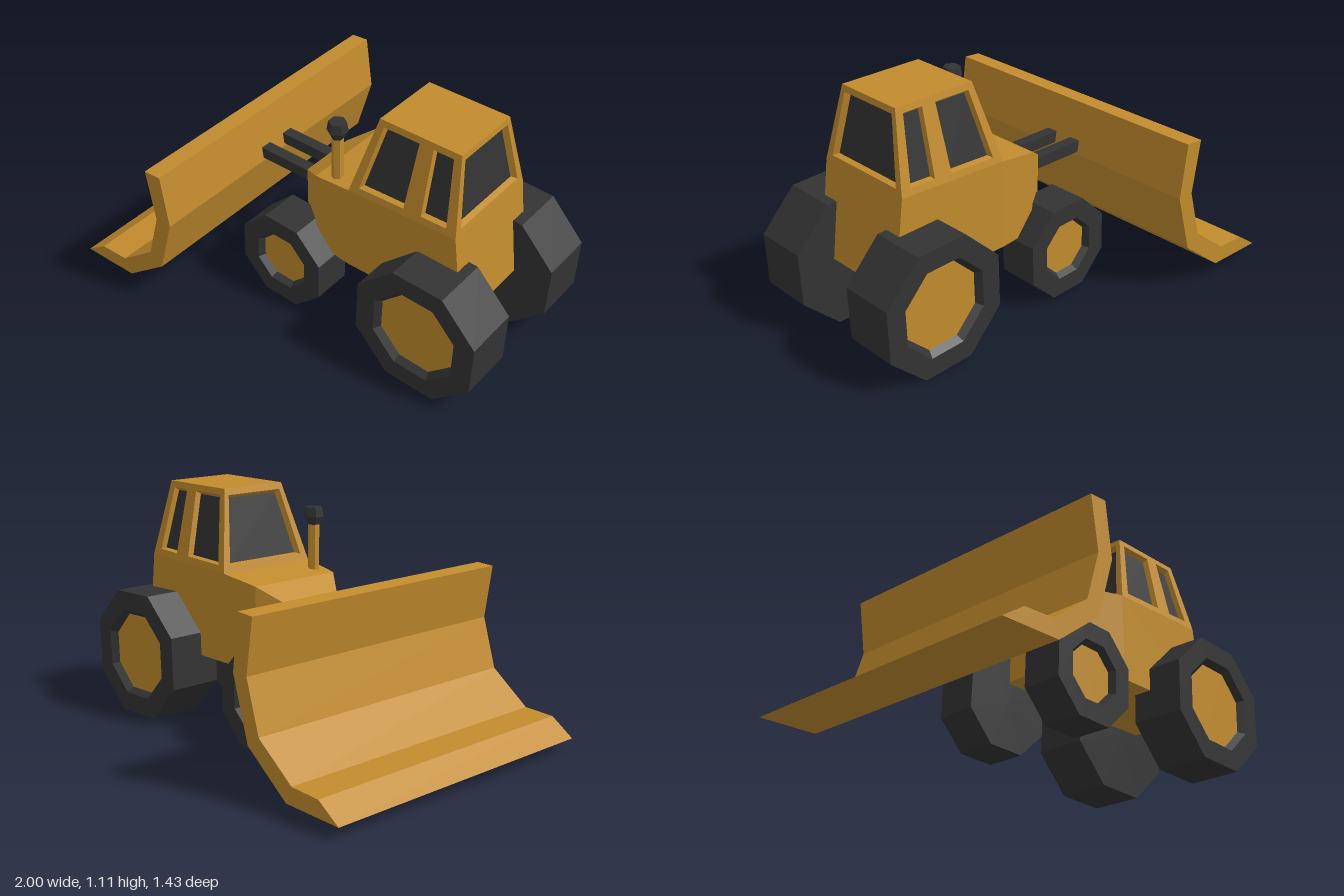
import * as THREE from 'three';
import { ConvexGeometry } from 'three/addons/geometries/ConvexGeometry.js';

const paint = new THREE.MeshStandardMaterial({ color: 0xc28c2d, flatShading: true });
const dark = new THREE.MeshStandardMaterial({ color: 0x333333, flatShading: true });
const V = (x, y, z) => new THREE.Vector3(x, y, z);

function add(parent, name, geometry, material, x = 0, y = 0, z = 0) {
  const mesh = new THREE.Mesh(geometry, material);
  mesh.name = name;
  mesh.position.set(x, y, z);
  parent.add(mesh);
  return mesh;
}

// Flat-shaded geometry from four-cornered faces, corners counter-clockwise
function quadGeometry(quads) {
  const points = quads.flatMap(([a, b, c, d]) => [a, b, c, a, c, d]);
  const geometry = new THREE.BufferGeometry().setFromPoints(points);
  geometry.computeVertexNormals();
  return geometry;
}

// Quads joining one four-cornered loop to another
const bridge = (outer, inner) =>
  outer.map((p, i) => [p, outer[(i + 1) % 4], inner[(i + 1) % 4], inner[i]]);

// Cab wall with recessed panes; corners run bottom-left, bottom-right, top-right, top-left
function cabWall(parent, name, [bl, br, tr, tl], windows, v0 = 0.085, v1 = 0.92) {
  const at = (u, v) => bl.clone().lerp(br, u).lerp(tl.clone().lerp(tr, u), v);
  const loop = (u0, u1, a, b) => [at(u0, a), at(u1, a), at(u1, b), at(u0, b)];
  const inward = br.clone().sub(bl).cross(tl.clone().sub(bl)).normalize().multiplyScalar(-0.025);
  const frame = [], panes = [];
  windows.forEach(([u0, u1], i) => {
    const start = i ? (windows[i - 1][1] + u0) / 2 : 0;
    const end = i < windows.length - 1 ? (u1 + windows[i + 1][0]) / 2 : 1;
    const hole = loop(u0, u1, v0, v1);
    const centre = at((u0 + u1) / 2, (v0 + v1) / 2);
    const pane = hole.map(p => p.clone().lerp(centre, 0.07).add(inward));
    frame.push(...bridge(loop(start, end, 0, 1), hole), ...bridge(hole, pane));
    panes.push(pane);
  });
  add(parent, name + 'Frame', quadGeometry(frame), paint);
  add(parent, name + 'Window', quadGeometry(panes), dark);
}

function makeCab() {
  const cab = new THREE.Group();
  cab.name = 'cab';
  const frontBase = s => V(0.225, 0.745, 0.255 * s), rearBase = s => V(0.767, 0.76, 0.25 * s);
  const frontRoof = s => V(0.32, 1.11, 0.17 * s), rearRoof = s => V(0.72, 1.11, 0.17 * s);
  cabWall(cab, 'leftSide', [frontBase(1), rearBase(1), rearRoof(1), frontRoof(1)],
    [[0.08, 0.51], [0.675, 0.91]]);
  cabWall(cab, 'rightSide', [rearBase(-1), frontBase(-1), frontRoof(-1), rearRoof(-1)],
    [[0.09, 0.325], [0.49, 0.92]]);
  cabWall(cab, 'windscreen', [frontBase(-1), frontBase(1), frontRoof(1), frontRoof(-1)], [[0.07, 0.93]]);
  cabWall(cab, 'rear', [rearBase(1), rearBase(-1), rearRoof(-1), rearRoof(1)], [[0.07, 0.93]]);
  add(cab, 'roof', quadGeometry([[frontRoof(1), rearRoof(1), rearRoof(-1), frontRoof(-1)]]), paint);
  return cab;
}

// Eight-sided tyre with a recessed hub on its outer face
function makeWheel(name, x, y, z, radius, width, holeRadius, rimRadius) {
  const wheel = new THREE.Group();
  wheel.name = name;
  const side = Math.sign(z), h = width / 2, spin = side * THREE.MathUtils.degToRad(20.5);
  const profile = [[0, -h], [radius, -h], [radius, h], [holeRadius, h], [rimRadius, h - 0.03]]
    .map(p => new THREE.Vector2(...p));
  add(wheel, 'tyre', new THREE.LatheGeometry(profile, 8).rotateX(Math.PI / 2).rotateZ(spin), dark);
  add(wheel, 'hub', new THREE.CircleGeometry(rimRadius, 8).rotateZ(spin), paint, 0, 0, h - 0.03);
  wheel.position.set(x, y, z);
  if (side < 0) wheel.rotation.y = Math.PI;
  return wheel;
}

export function createModel() {
  const model = new THREE.Group();
  model.name = 'bulldozer';

  // Tapered body: bottom x, top x, top height, half width
  const sections = [
    [-0.1, -0.1, 0.63, 0.14],
    [0.03, 0.03, 0.715, 0.235],
    [0.225, 0.225, 0.745, 0.255],
    [0.82, 0.767, 0.76, 0.25],
  ];
  const hull = sections.flatMap(([xb, xt, top, w]) =>
    [-w, w].flatMap(z => [V(xb, 0.33, z), V(xt, top, z)]));
  add(model, 'body', new ConvexGeometry(hull), paint);

  model.add(makeCab());

  // Wheels and blade arms, mirrored across the body
  for (const s of [1, -1]) {
    const label = s > 0 ? 'left' : 'right';
    model.add(makeWheel(label + 'FrontWheel', -0.09, 0.237, s * 0.255, 0.24, 0.19, 0.148, 0.13));
    model.add(makeWheel(label + 'RearWheel', 0.7, 0.304, s * 0.295, 0.32, 0.255, 0.222, 0.197));
    add(model, label + 'BladeArm', new THREE.BoxGeometry(0.34, 0.055, 0.055), dark, -0.25, 0.557, s * 0.073);
  }

  // Blade: bent profile swept across the full width
  const outline = [[-1, 0.058], [-0.71, 0.063], [-0.485, 0.235], [-0.4, 0.515], [-0.433, 0.767],
    [-0.52, 0.762], [-0.482, 0.515], [-0.552, 0.285], [-0.742, 0.14], [-0.89, 0.134]];
  const bladeShape = new THREE.Shape(outline.map(p => new THREE.Vector2(...p)));
  add(model, 'blade', new THREE.ExtrudeGeometry(bladeShape, { depth: 1.43, bevelEnabled: false }),
    paint, 0, 0, -0.715);

  // Exhaust pipe with a flared cap
  add(model, 'exhaustPipe', new THREE.CylinderGeometry(0.027, 0.027, 0.26, 6), paint, 0.115, 0.82, 0.19);
  const cap = [[0, 0.935], [0.028, 0.935], [0.047, 0.972], [0.04, 1.016], [0, 1.016]]
    .map(p => new THREE.Vector2(...p));
  add(model, 'exhaustCap', new THREE.LatheGeometry(cap, 6), dark, 0.115, 0, 0.19);

  return model;
}
